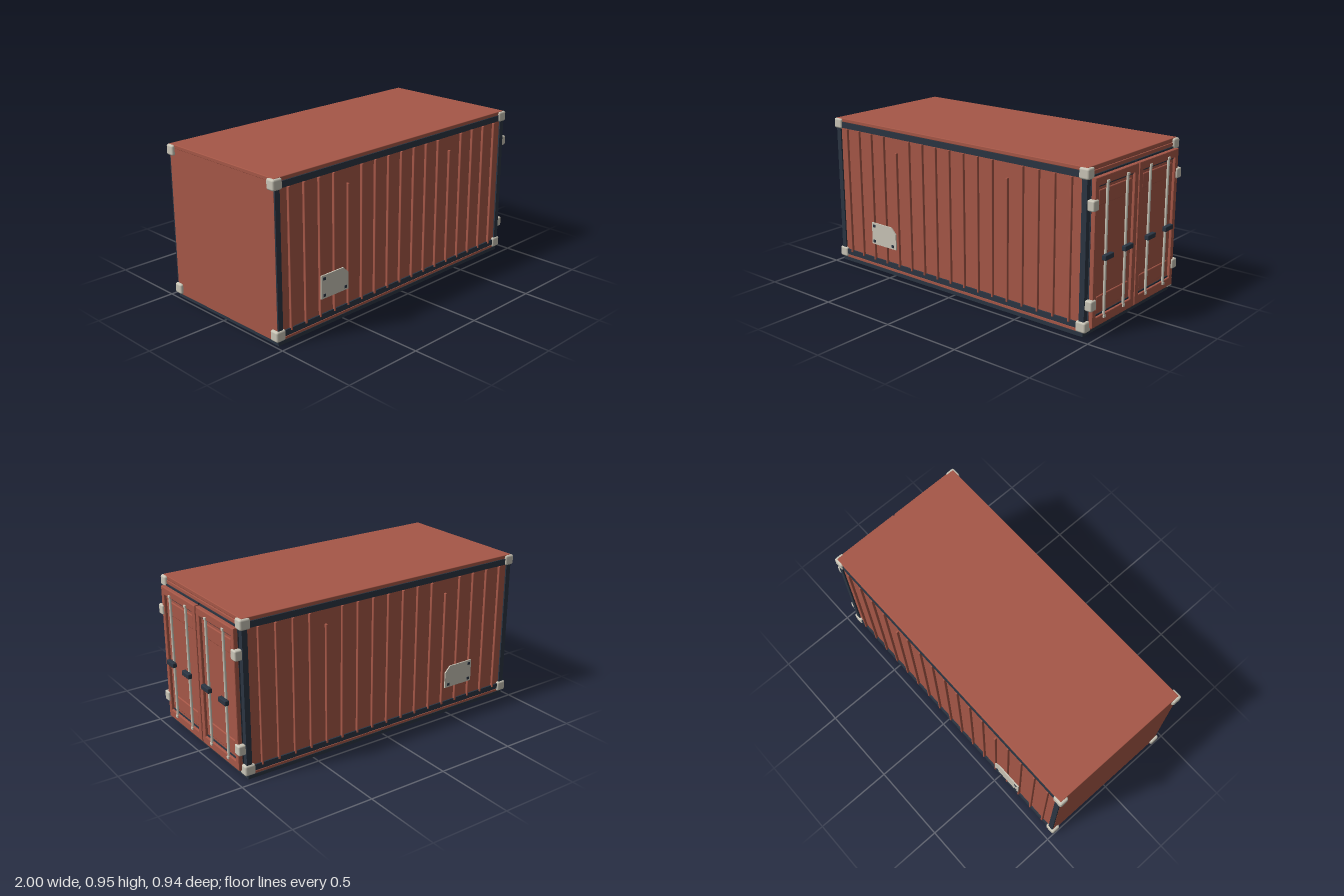
import * as THREE from 'three';
import { RoundedBoxGeometry } from 'three/addons/geometries/RoundedBoxGeometry.js';

export function createModel() {
  const root = new THREE.Group();
  root.name = 'shippingContainer';
  const mat = (name, color) => {
    const m = new THREE.MeshStandardMaterial({ color });
    m.name = name;
    return m;
  };
  const red = mat('rustRed', 0xa65747);
  const dark = mat('darkSteel', 0x2b3542);
  const cream = mat('paleMetal', 0xc9c5b7);

  const add = (name, geo, material, parent = root) => {
    const m = new THREE.Mesh(geo, material);
    m.name = name;
    parent.add(m);
    return m;
  };
  // Box given by its limits, with optional rounded edges
  const box = (name, material, [x0, x1], [y0, y1], [z0, z1], r = 0, parent = root) => {
    const s = [x1 - x0, y1 - y0, z1 - z0];
    const geo = r ? new RoundedBoxGeometry(...s, 2, r) : new THREE.BoxGeometry(...s);
    geo.translate((x0 + x1) / 2, (y0 + y1) / 2, (z0 + z1) / 2);
    return add(name, geo, material, parent);
  };
  const rect = (Type, a, b, c, d) => {
    const s = new Type();
    s.moveTo(a, c);
    s.lineTo(b, c);
    s.lineTo(b, d);
    s.lineTo(a, d);
    s.closePath();
    return s;
  };

  // Body, base and roof
  box('base', dark, [-0.98, 0.93], [0, 0.022], [-0.447, 0.447]);
  box('body', red, [-0.984, 0.934], [0.022, 0.93], [-0.443, 0.443]);
  box('roof', red, [-0.985, 0.937], [0.925, 0.948], [-0.448, 0.448], 0.004);
  box('doorHeader', red, [0.92, 0.94], [0.9, 0.922], [-0.448, 0.448], 0.003);
  box('doorSill', red, [0.92, 0.94], [0.026, 0.046], [-0.448, 0.448], 0.003);

  // Both long sides: rails, posts, ribs and identification plate
  for (const s of [1, -1]) {
    const side = new THREE.Group();
    side.name = s > 0 ? 'frontSide' : 'backSide';
    root.add(side);
    const z = (a, b) => (s > 0 ? [a, b] : [-b, -a]);
    box('topRail', dark, [-0.983, 0.934], [0.888, 0.925], z(0.43, 0.452), 0, side);
    box('bottomRail', dark, [-0.983, 0.934], [0.045, 0.08], z(0.43, 0.452), 0, side);
    box('endPost', dark, [-0.983, -0.95], [0.045, 0.925], z(0.43, 0.452), 0, side);
    box('doorPost', dark, [0.905, 0.938], [0.045, 0.9], z(0.415, 0.452), 0, side);
    box('sillEdge', red, [-0.984, 0.934], [0.026, 0.04], z(0.43, 0.449), 0, side);

    for (let i = 0; i < 17; i++) {
      const x = -0.89 + i * 0.108;
      const top = i === 4 || i === 12 ? 0.8 : 0.886;
      box('wallRib', red, [x - 0.006, x + 0.006], [0.068, top], z(0.438, 0.459), 0.003, side);
    }

    // Plate with one clipped corner and three bolts
    const plate = new THREE.Shape([[-0.68, 0.18], [-0.47, 0.18], [-0.47, 0.28], [-0.508, 0.32], [-0.68, 0.32]]
      .map(([x, y]) => new THREE.Vector2(x, y)));
    const geo = new THREE.ExtrudeGeometry(plate, { depth: 0.008, bevelEnabled: false });
    geo.translate(0, 0, s > 0 ? 0.459 : -0.467);
    add('sidePlate', geo, cream, side);
    for (const [x, y] of [[-0.658, 0.3], [-0.658, 0.2], [-0.495, 0.2]])
      box('plateBolt', dark, [x - 0.009, x + 0.009], [y - 0.008, y + 0.008], z(0.465, 0.471), 0, side);

    // Corner castings
    for (const x of [[-1, -0.935], [0.886, 0.952]])
      for (const y of [[0.026, 0.09], [0.882, 0.945]])
        box('cornerCasting', cream, x, y, z(0.4, 0.46), 0.012, side);
  }

  // Pair of doors on the +x end
  for (const s of [1, -1]) {
    const door = new THREE.Group();
    door.name = s > 0 ? 'leftDoor' : 'rightDoor';
    root.add(door);
    const z = (a, b) => (s > 0 ? [a, b] : [-b, -a]);
    box('doorSeal', dark, [0.93, 0.945], [0.046, 0.9], z(0.006, 0.42), 0, door);

    // Framed leaf with a recessed panel; the shape is turned to face +x
    const b = 0.005;
    const [z0, z1] = z(0.005 + b, 0.419 - b);
    const [h0, h1] = z(0.041 - b, 0.386 + b);
    const frame = rect(THREE.Shape, -z1, -z0, 0.052 + b, 0.89 - b);
    frame.holes.push(rect(THREE.Path, -h1, -h0, 0.103 - b, 0.842 + b));
    const geo = new THREE.ExtrudeGeometry(frame, {
      depth: 0.02, bevelThickness: b, bevelSize: b, bevelSegments: 2,
    });
    geo.rotateY(Math.PI / 2).translate(0.946, 0, 0);
    add('doorFrame', geo, red, door);
    box('doorPanel', red, [0.942, 0.954], [0.095, 0.85], z(0.035, 0.395), 0, door);
    for (const y of [0.103, 0.832])
      box('recessStrip', dark, [0.95, 0.958], [y, y + 0.01], z(0.041, 0.386), 0, door);
    for (const y of [0.13, 0.729])
      box('raisedPanel', red, [0.946, 0.961], [y, y + 0.086], z(0.056, 0.37), 0.006, door);

    // Hinges
    for (const y of [0.155, 0.714])
      box('hinge', cream, [0.934, 0.981], [y, y + 0.061], z(0.396, 0.447), 0.009, door);

    // Locking rods, end keepers and handles
    for (const c of [0.117, 0.309]) {
      const rod = new THREE.CylinderGeometry(0.008, 0.008, 0.77, 12).translate(0.97, 0.47, s * c);
      add('lockingRod', rod, cream, door);
      for (const y of [0.082, 0.845])
        box('rodKeeper', cream, [0.96, 0.979], [y, y + 0.016], z(c - 0.01, c + 0.01), 0.002, door);
      box('handle', dark, [0.973, 1], [0.425, 0.455], z(c - 0.041, c + 0.041), 0.005, door);
    }
  }
  return root;
}
